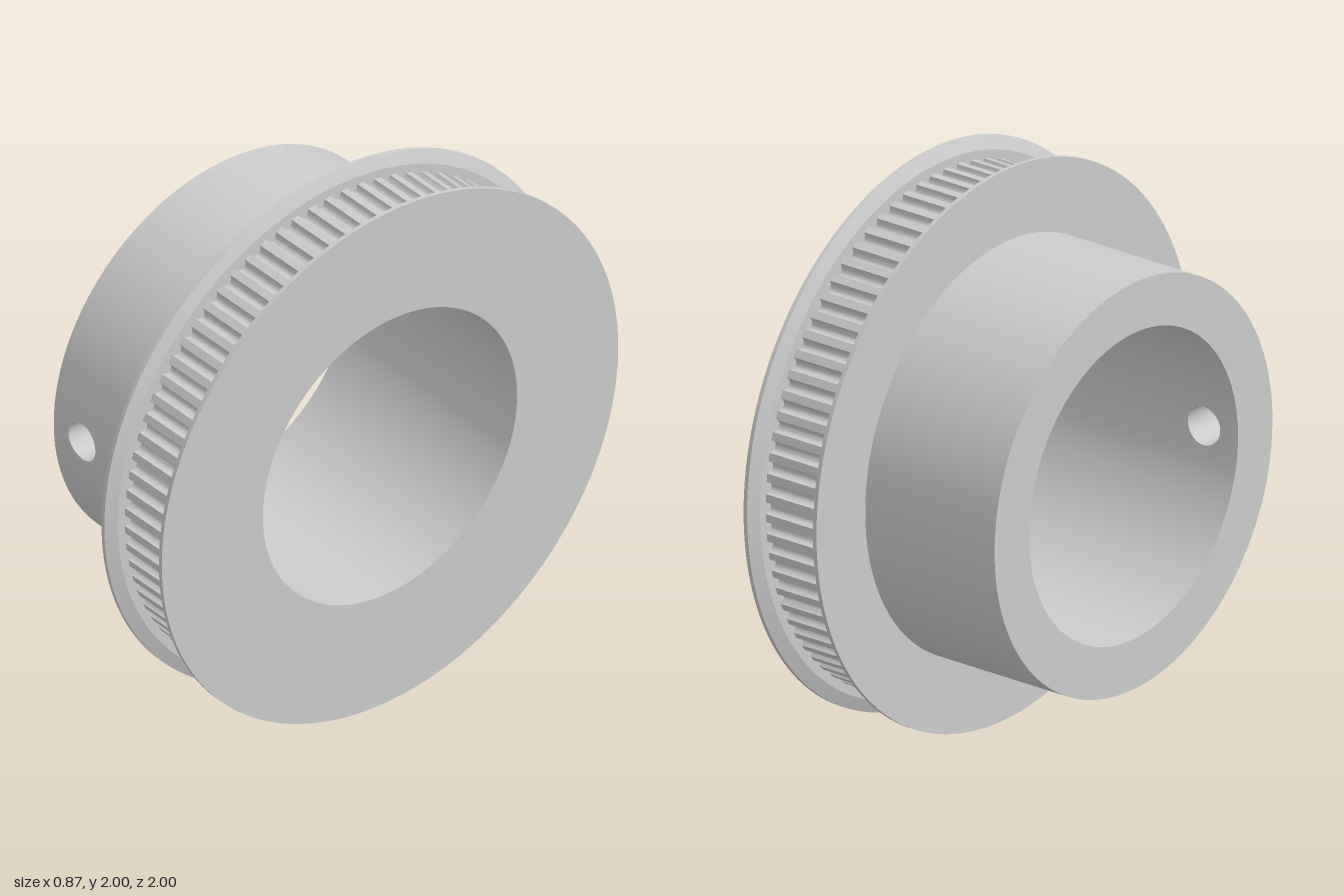
import * as THREE from 'three';
import { mergeGeometries, toCreasedNormals } from 'three/addons/utils/BufferGeometryUtils.js';
import { ParametricGeometry } from 'three/addons/geometries/ParametricGeometry.js';

const X0 = -0.437, X1 = 0.437;              // ends along the axis
const F1 = 0.122, F2 = 0.155, F3 = 0.402;   // flange and tooth band positions
const BORE = 0.557, HUB = 0.74, FLANGE = 1, TIP = 0.925, ROOT = 0.897;
const HOLE_X = -0.29, HOLE_R = 0.07, PATCH = 0.35, TEETH = 80;

const material = new THREE.MeshStandardMaterial({ color: 0xcccccc });

// Revolve a profile of [radius, x] points about the x axis, with sharp corners
function turned(points) {
  const parts = [];
  for (let i = 0; i < points.length - 1; i++) {
    const pair = [points[i], points[i + 1]].map(([r, x]) => new THREE.Vector2(r, x));
    parts.push(new THREE.LatheGeometry(pair, 160));
  }
  return mergeGeometries(parts).rotateZ(-Math.PI / 2);
}

// Cylinder wall pierced by the set screw hole at +z; dir -1 faces out, +1 faces in
function piercedWall(r, xa, xb, dir) {
  const around = new ParametricGeometry((u, v, p) => {
    const a = dir * (PATCH + (2 * Math.PI - 2 * PATCH) * u);
    p.set(xa + (xb - xa) * v, r * Math.sin(a), r * Math.cos(a));
  }, 144, 1);
  // Patch blending from the round hole to a rectangular border
  const patch = new ParametricGeometry((u, v, p) => {
    const t = dir * 2 * Math.PI * u, c = Math.cos(t), s = Math.sin(t);
    const m = Math.max(Math.abs(c), Math.abs(s));
    const borderX = HOLE_X + (c > 0 ? xb - HOLE_X : HOLE_X - xa) * c / m;
    const x = THREE.MathUtils.lerp(HOLE_X + HOLE_R * c, borderX, v);
    const a = THREE.MathUtils.lerp(Math.asin(HOLE_R * s / r), PATCH * s / m, v);
    p.set(x, r * Math.sin(a), r * Math.cos(a));
  }, 64, 10);
  return mergeGeometries([around, patch]);
}

// Lining of the set screw hole between hub surface and bore
function holeLining() {
  return new ParametricGeometry((u, v, p) => {
    const t = 2 * Math.PI * u, y = HOLE_R * Math.sin(t);
    const r = v < 0.5 ? HUB : BORE;
    const zOut = Math.sqrt(HUB * HUB - y * y), zIn = Math.sqrt(BORE * BORE - y * y);
    p.set(HOLE_X + HOLE_R * Math.cos(t), y, THREE.MathUtils.lerp(zOut, zIn, v));
  }, 64, 1);
}

// Belt teeth: flat lands with rounded grooves
function toothBand() {
  const shape = new THREE.Shape(), pitch = 2 * Math.PI / TEETH, steps = 8;
  for (let i = 0; i < TEETH; i++) {
    for (let k = 0; k <= steps; k++) {
      const t = Math.PI * k / steps;
      const a = i * pitch - 0.3 * pitch * Math.cos(t);
      const r = TIP - (TIP - ROOT) * Math.sin(t);
      const x = r * Math.cos(a), y = r * Math.sin(a);
      if (i + k === 0) shape.moveTo(x, y); else shape.lineTo(x, y);
    }
  }
  shape.closePath();
  shape.holes.push(new THREE.Path().absarc(0, 0, 0.8, 0, Math.PI * 2, true));
  const geo = new THREE.ExtrudeGeometry(shape, { depth: F3 - F2, bevelEnabled: false, curveSegments: 32 });
  return toCreasedNormals(geo.rotateY(Math.PI / 2).translate(F2, 0, 0), 0.7);
}

export function createModel() {
  const group = new THREE.Group();
  group.name = 'timingPulley';
  const add = (name, geometry) => {
    const mesh = new THREE.Mesh(geometry, material);
    mesh.name = name;
    mesh.position.y = 1;
    group.add(mesh);
  };

  add('hubWall', piercedWall(HUB, X0, F1, -1));
  add('hubEnd', turned([[BORE, X0], [HUB, X0]]));
  add('bore', piercedWall(BORE, X0, X1, 1));
  add('setScrewHole', holeLining());
  add('innerFlange', turned([[HUB, F1], [FLANGE, F1], [FLANGE, F1 + 0.015], [0.955, F2], [0.85, F2]]));
  add('outerFlange', turned([[0.85, F3], [0.955, F3], [FLANGE, X1 - 0.015], [FLANGE, X1], [BORE, X1]]));
  add('beltTeeth', toothBand());
  return group;
}
